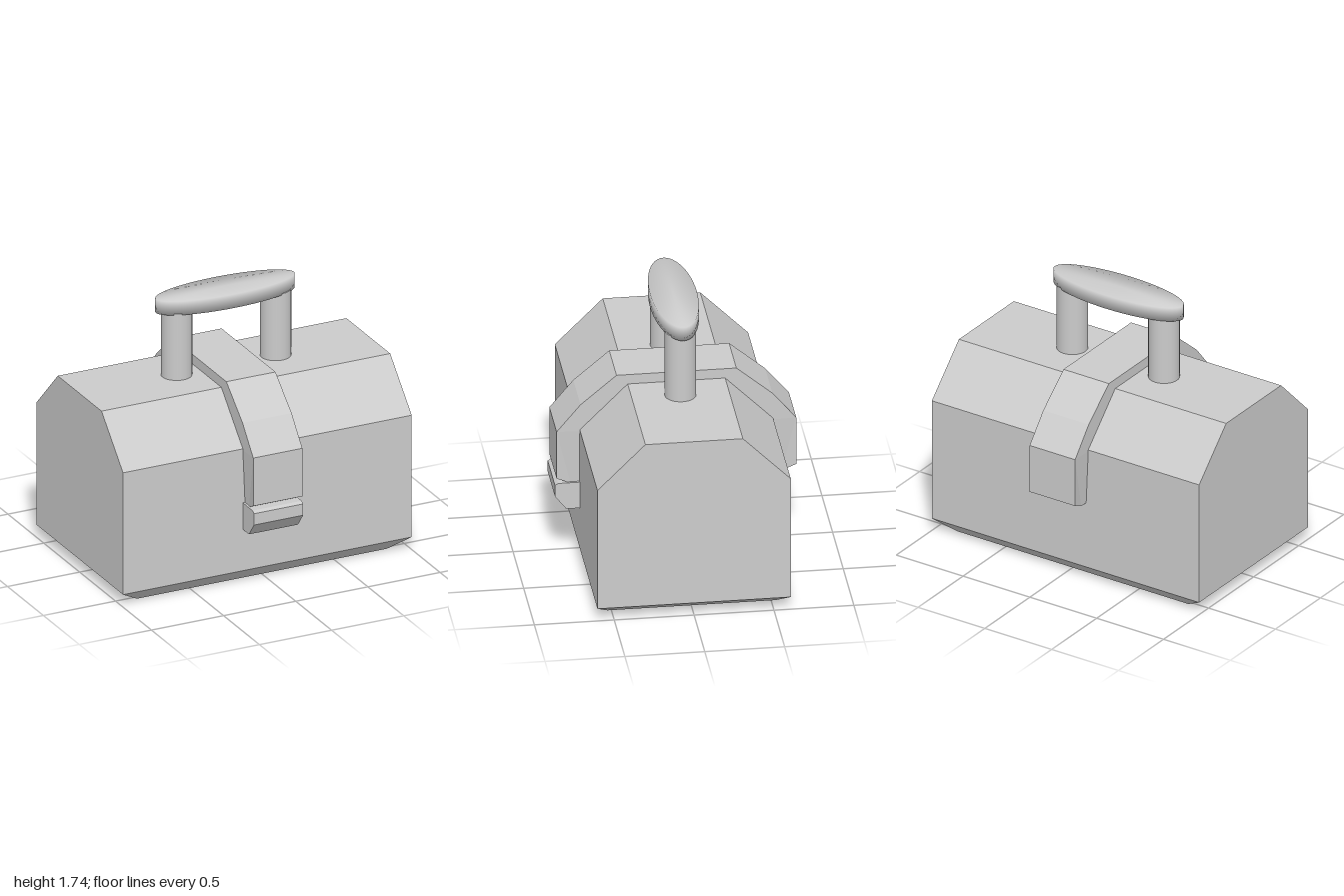
import * as THREE from 'three';
import { mergeVertices } from 'three/addons/utils/BufferGeometryUtils.js';

export function createModel() {
  const group = new THREE.Group();
  const flat = new THREE.MeshStandardMaterial({ color: 0xcccccc, flatShading: true });
  const smooth = new THREE.MeshStandardMaterial({ color: 0xcccccc });

  const add = (name, geometry, material = flat) => {
    const mesh = new THREE.Mesh(geometry, material);
    mesh.name = name;
    group.add(mesh);
    return mesh;
  };

  // Extrudes a [z, y] side profile across the width, centred on x = 0
  const extrudeAcross = (profile, width) => {
    const shape = new THREE.Shape(profile.map(([z, y]) => new THREE.Vector2(-z, y)));
    const geo = new THREE.ExtrudeGeometry(shape, { depth: width, bevelEnabled: false });
    return geo.translate(0, 0, -width / 2).rotateY(Math.PI / 2);
  };
  // Completes a front half-profile with its mirrored back half
  const mirrored = (half) => [...half, ...half.map(([z, y]) => [-z, y]).reverse()];

  // Chest with sloped lid
  add('chest', extrudeAcross(mirrored([[0.605, 0.085], [0.605, 0.91], [0.305, 1.21]]), 2));

  // Chamfered base, narrower at the ground
  const base = new THREE.BoxGeometry(2, 0.085, 1.21).translate(0, 0.0425, 0);
  const bp = base.attributes.position;
  for (let i = 0; i < bp.count; i++) {
    if (bp.getY(i) < 0.01) {
      bp.setX(i, Math.sign(bp.getX(i)) * 0.865);
      bp.setZ(i, Math.sign(bp.getZ(i)) * 0.525);
    }
  }
  base.computeVertexNormals();
  add('base', base);

  // Strap wrapping over the lid, its tips slightly tapered
  const strap = extrudeAcross(mirrored([
    [0.6, 0.535], [0.66, 0.535], [0.75, 0.58], [0.75, 0.905],
    [0.6, 1.085], [0.375, 1.275],
  ]).concat([[-0.6, 0.9], [-0.3, 1.2], [0.3, 1.2], [0.6, 0.9]]), 0.34);
  const sp = strap.attributes.position;
  for (let i = 0; i < sp.count; i++) {
    if (sp.getY(i) < 0.54) sp.setX(i, Math.sign(sp.getX(i)) * 0.155);
  }
  strap.computeVertexNormals();
  add('strap', strap);

  // Clasp below the front end of the strap
  add('clasp', extrudeAcross([
    [0.6, 0.365], [0.69, 0.365], [0.76, 0.455], [0.76, 0.532], [0.74, 0.545], [0.6, 0.545],
  ], 0.34));

  // Handle posts
  for (const [name, x] of [['leftPost', 0.357], ['rightPost', -0.329]]) {
    add(name, new THREE.CylinderGeometry(0.098, 0.098, 0.46, 32), smooth)
      .position.set(x, 1.43, 0);
  }

  // Oval grip with softly shaded rim
  const grip = new THREE.CylinderGeometry(1, 1, 0.093, 48).scale(0.478, 1, 0.146);
  grip.deleteAttribute('normal');
  grip.deleteAttribute('uv');
  const softGrip = mergeVertices(grip);
  softGrip.computeVertexNormals();
  add('grip', softGrip, smooth).position.set(0.008, 1.697, -0.003);

  return group;
}
